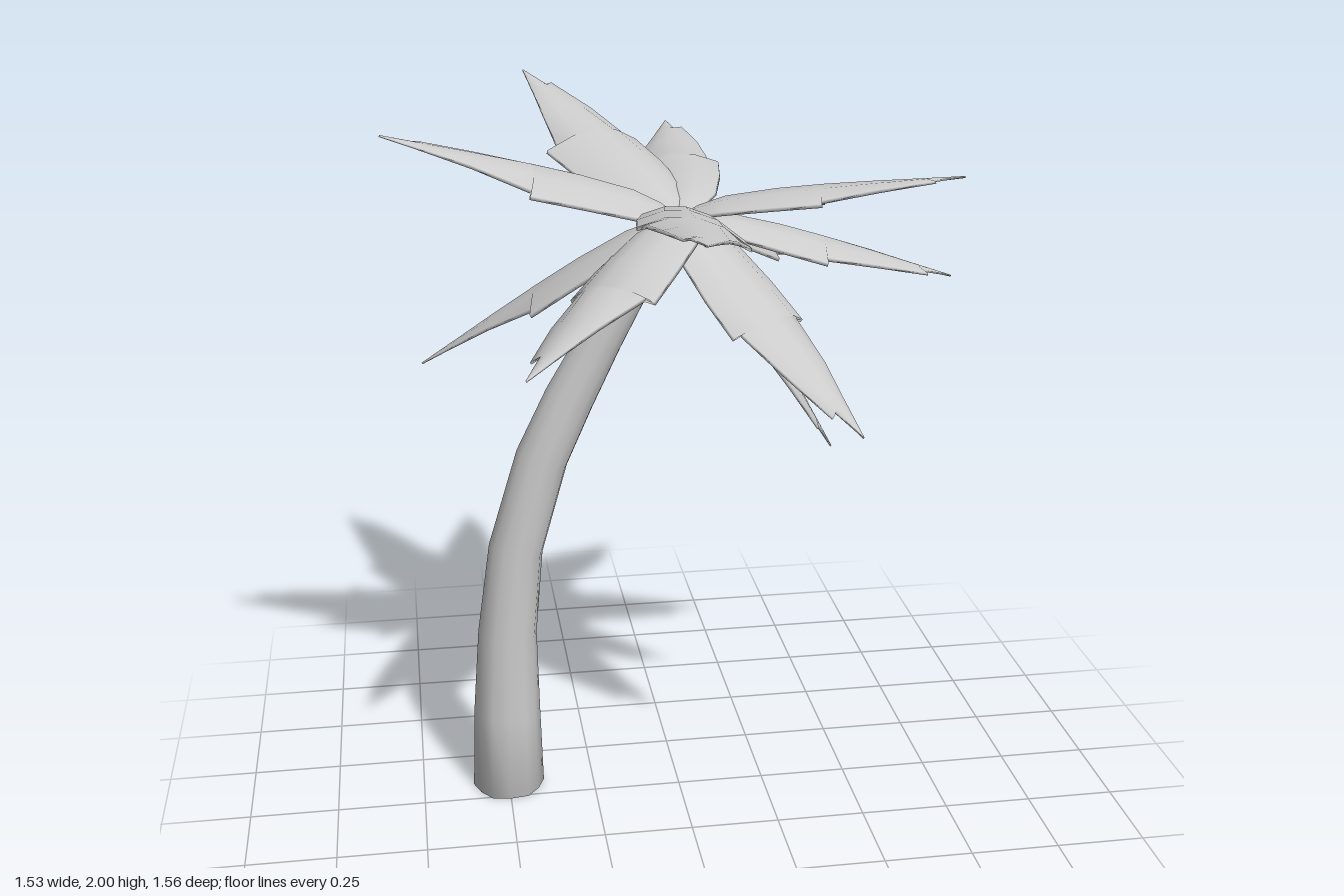
import * as THREE from 'three';
import { mergeVertices } from 'three/addons/utils/BufferGeometryUtils.js';

const grey = new THREE.MeshStandardMaterial({ color: 0xcccccc, side: THREE.DoubleSide });
const CROWN = new THREE.Vector3(0, 1.72, 0);

// Joins rows of points into one smooth surface
function loft(rows) {
  const n = rows[0].length, index = [];
  for (let i = 0; i < rows.length - 1; i++) {
    for (let j = 0; j < n - 1; j++) {
      const a = i * n + j, b = a + 1, c = a + n, d = c + 1;
      index.push(a, b, c, b, d, c);
    }
  }
  const geo = new THREE.BufferGeometry();
  geo.setAttribute('position', new THREE.Float32BufferAttribute(rows.flat(2), 3));
  geo.setIndex(index);
  const merged = mergeVertices(geo, 1e-5);
  merged.computeVertexNormals();
  return merged;
}

// Frond of unit length along +z: thin arched shell, straight left edge, toothed right edge
function frondGeometry() {
  // [rib z, rib y, left z, left width, right z, right width]
  const sections = [
    [0.02, 0.005, 0.02, 0.035, 0.02, 0.035],
    [0.07, 0.024, 0.06, 0.085, 0.06, 0.080],
    [0.17, 0.042, 0.16, 0.158, 0.16, 0.130],
    [0.35, 0.044, 0.34, 0.178, 0.34, 0.155],
    [0.50, 0.038, 0.51, 0.186, 0.50, 0.160],
    [0.52, 0.037, 0.50, 0.150, 0.49, 0.130],
    [0.70, 0.025, 0.70, 0.095, 0.70, 0.100],
    [0.84, 0.014, 0.84, 0.050, 0.895, 0.055],
    [0.88, 0.011, 0.88, 0.038, 0.865, 0.032],
    [1.00, 0.002, 1.00, 0.001, 1.00, 0.001],
  ];
  return loft(sections.map(([z, y, lz, lw, rz, rw]) => {
    const thick = 0.02 * Math.min(1, (1.15 - z) * 2);
    // The wide inner half arches more than the tip
    const arch = z < 0.6 ? 0.35 : 0.25;
    const point = (sign, ez, w, f, drop) =>
      [sign * w * f, y - arch * w * f * f - drop, z + (ez - z) * f];
    const strip = (drop) => [point(1, lz, lw, 1, drop * 0.6), point(1, lz, lw, 0.5, drop),
      [0, y - drop, z], point(-1, rz, rw, 0.5, drop), point(-1, rz, rw, 1, drop * 0.6)];
    const top = strip(0);
    return [...top, ...strip(thick).reverse(), top[0]];
  }));
}

// Leaning trunk: rings square to a curved centre line, closed at both ends
function trunkGeometry() {
  const radii = [0.104, 0.096, 0.084, 0.077, 0.074, 0.07, 0.061, 0.044, 0.024];
  const points = [
    [-0.5, 0, -0.083], [-0.497, 0.25, -0.081], [-0.488, 0.5, -0.08],
    [-0.456, 0.76, -0.079], [-0.375, 1.03, -0.078], [-0.295, 1.2, -0.077],
    [-0.205, 1.37, -0.071], [-0.1, 1.55, -0.044], [-0.012, 1.725, -0.012],
  ].map((p) => new THREE.Vector3(...p));
  const sides = 12;
  const rows = points.map((p, i) => {
    const next = points[Math.min(i + 1, points.length - 1)];
    const prev = points[Math.max(i - 1, 0)];
    const dir = i === 0 ? new THREE.Vector3(0, 1, 0) : next.clone().sub(prev).normalize();
    const u = new THREE.Vector3(dir.y, -dir.x, 0).normalize();
    const v = u.clone().cross(dir);
    return Array.from({ length: sides + 1 }, (_, j) => {
      const a = -(j % sides) / sides * Math.PI * 2;
      // Shallow root flutes at the foot
      const r = radii[i] * (i < 2 ? 1 - 0.06 * (j % 2) : 1);
      return p.clone().addScaledVector(u, r * Math.cos(a))
        .addScaledVector(v, r * Math.sin(a)).toArray();
    });
  });
  const cap = (p) => rows[0].map(() => p.toArray());
  return loft([cap(points[0]), ...rows, cap(points[points.length - 1])]);
}

export function createModel() {
  const model = new THREE.Group();
  const add = (geo, name, parent) => {
    const mesh = new THREE.Mesh(geo, grey);
    mesh.name = name;
    parent.add(mesh);
    return mesh;
  };

  // Trunk
  add(trunkGeometry(), 'trunk', model);

  // Fronds: tip x, y, z and roll in degrees (positive lifts the left edge)
  const tips = [
    [-0.77, 1.95, -0.01, 0], [-0.35, 2.0, -0.72, 0], [0.08, 1.83, -0.78, -10],
    [0.49, 1.44, -0.69, 20], [0.76, 1.52, -0.02, 0], [0.73, 1.83, 0.15, -10],
    [-0.06, 1.83, 0.78, -10], [0.4, 1.24, 0.47, 0], [0.43, 1.05, 0.01, 0],
    [-0.45, 1.44, 0.49, 12], [-0.69, 1.25, -0.3, 0],
  ];
  const fronds = new THREE.Group();
  fronds.name = 'fronds';
  model.add(fronds);
  const frondGeo = frondGeometry();
  tips.forEach(([x, y, z, roll], i) => {
    const dir = new THREE.Vector3(x, y, z).sub(CROWN);
    const length = dir.length();
    dir.normalize();
    const left = new THREE.Vector3(0, 1, 0).cross(dir).normalize();
    const up = dir.clone().cross(left);
    const frond = add(frondGeo, `frond${i + 1}`, fronds);
    frond.quaternion.setFromRotationMatrix(new THREE.Matrix4().makeBasis(left, up, dir));
    frond.rotateZ(THREE.MathUtils.degToRad(roll));
    frond.position.copy(CROWN);
    // Width stays equal on all fronds
    frond.scale.set(0.82, 0.82, length);
  });

  return model;
}
